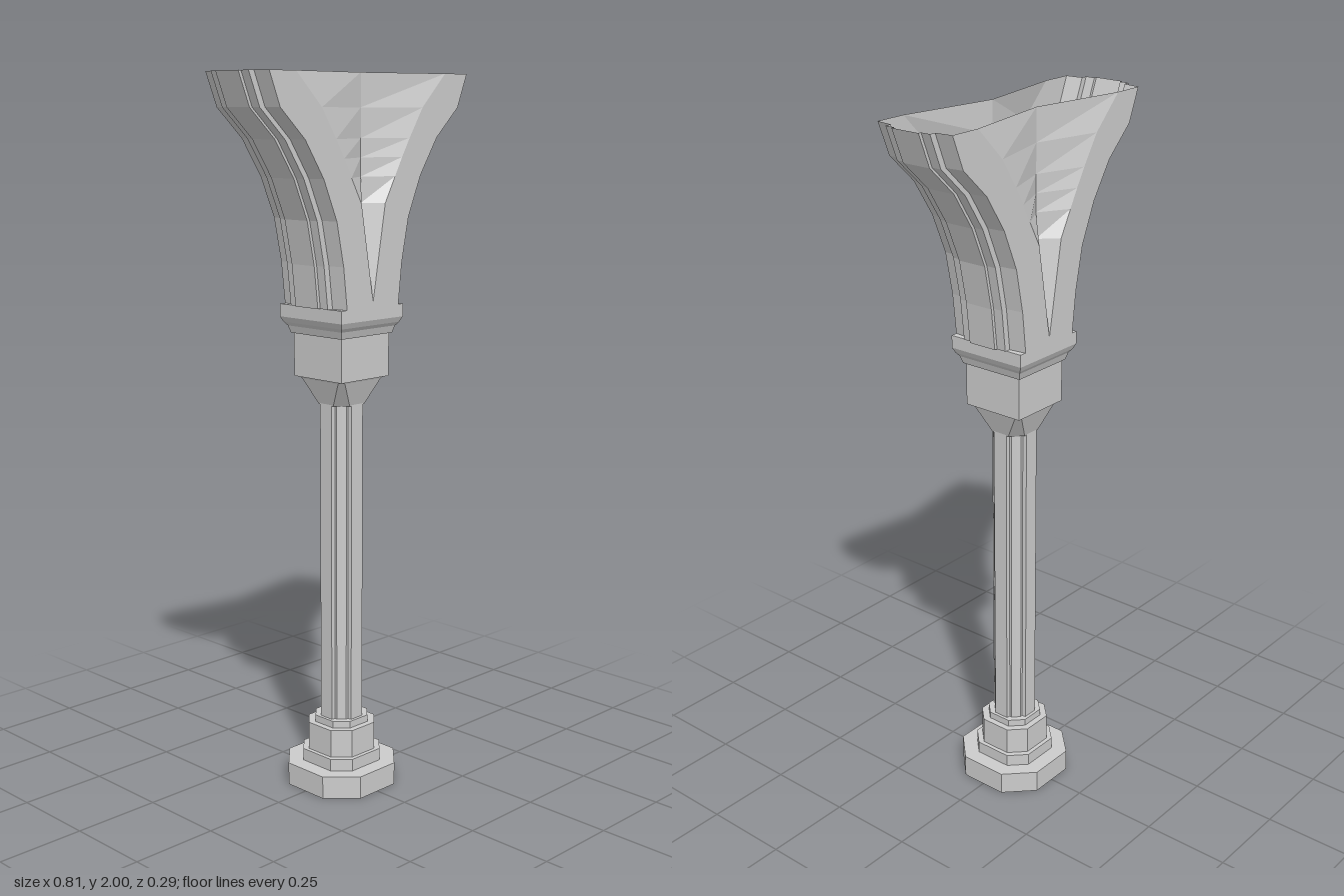
import * as THREE from 'three';

const material = new THREE.MeshStandardMaterial({ color: 0xcccccc, flatShading: true });
const shellMaterial = new THREE.MeshStandardMaterial({ color: 0xcccccc, flatShading: true, side: THREE.DoubleSide });

// Mirror a quarter outline ([x, z] points from the +z side round to the +x side) into a full loop.
function mirrorQuarter(q) {
  const flip = (sx, sz) => q.map(([x, z]) => [x * sx, z * sz]);
  return [...q, ...flip(1, -1).reverse(), ...flip(-1, -1), ...flip(-1, 1).reverse()];
}

// Quarter outline of a square with cut corners; c = h gives a plain square.
const octagon = (h, c) => [[c, h], [h, c]];
const square = (h) => octagon(h, h);

// Skin a stack of [height, quarter outline] sections.
function loft(name, sections, capped = true) {
  const rings = sections.map(([y, q]) => mirrorQuarter(q).map(([x, z]) => [x, y, z]));
  const n = rings[0].length;
  const pos = [];
  for (let i = 0; i < rings.length - 1; i++) {
    for (let j = 0; j < n; j++) {
      const k = (j + 1) % n;
      const a = rings[i][j], b = rings[i][k], c = rings[i + 1][k], d = rings[i + 1][j];
      pos.push(...a, ...b, ...c, ...a, ...c, ...d);
    }
  }
  if (capped) {
    const low = rings[0], high = rings[rings.length - 1];
    for (let j = 0; j < n; j++) {
      const k = (j + 1) % n;
      pos.push(0, low[0][1], 0, ...low[k], ...low[j]);
      pos.push(0, high[0][1], 0, ...high[j], ...high[k]);
    }
  }
  const geometry = new THREE.BufferGeometry();
  geometry.setAttribute('position', new THREE.Float32BufferAttribute(pos, 3));
  geometry.computeVertexNormals();
  const mesh = new THREE.Mesh(geometry, capped ? material : shellMaterial);
  mesh.name = name;
  return mesh;
}

// Piecewise linear lookup in [y, value] pairs.
function lookup(table, y) {
  if (y <= table[0][0]) return table[0][1];
  for (let i = 1; i < table.length; i++) {
    const [y0, v0] = table[i - 1], [y1, v1] = table[i];
    if (y <= y1) return v0 + (v1 - v0) * (y - y0) / (y1 - y0);
  }
  return table[table.length - 1][1];
}

// Flared open head: stepped ribs on both sides, a widening groove front and back.
function flaredHead() {
  const flare = [[1.385, 0.105], [1.5, 0.118], [1.62, 0.143], [1.73, 0.19], [1.83, 0.255], [1.91, 0.34], [2, 0.376]];
  const grooveWidth = [[1.4, 0], [1.66, 0.045], [1.78, 0.11], [1.9, 0.18], [2, 0.28]];
  const grooveDepth = [[1.4, 0.12], [1.66, 0.072]];
  const levels = [1.385, 1.4, 1.5, 1.62, 1.66, 1.73, 1.78, 1.83, 1.91, 2];
  return loft('flaredHead', levels.map((y) => {
    const p = lookup(flare, y);
    return [y, [
      [0, lookup(grooveDepth, y)], [lookup(grooveWidth, y), 0.12], [p - 0.006, 0.12],
      [p, 0.071], [p + 0.018, 0.071], [p + 0.018, 0.043], [p + 0.027, 0.043],
    ]];
  }), false);
}

export function createModel() {
  const group = new THREE.Group();

  // Stepped octagonal foot: [name, bottom, top, half width, corner]
  const steps = [
    ['plinth', 0, 0.065, 0.145, 0.07],
    ['lowerBaseStep', 0.065, 0.1, 0.1, 0.055],
    ['upperBaseStep', 0.1, 0.18, 0.088, 0.045],
    ['baseCollar', 0.18, 0.2, 0.07, 0.035],
  ];
  for (const [name, y0, y1, h, c] of steps) {
    group.add(loft(name, [[y0, octagon(h, c)], [y1, octagon(h, c)]]));
  }

  // Clustered shaft with grooves beside each rib
  const shaft = [[0.022, 0.061], [0.024, 0.05], [0.031, 0.05], [0.041, 0.041], [0.05, 0.031], [0.05, 0.024], [0.061, 0.022]];
  group.add(loft('shaft', [[0.2, shaft], [1.13, shaft]]));

  // Neck spreading from the shaft to the square block
  group.add(loft('neck', [[1.11, octagon(0.06, 0.028)], [1.18, octagon(0.083, 0.07)], [1.19, square(0.088)]]));
  group.add(loft('block', [[1.185, square(0.092)], [1.31, square(0.092)]]));

  // Moulding under the head
  group.add(loft('moulding', [
    [1.305, square(0.098)], [1.325, square(0.104)], [1.335, square(0.112)],
    [1.35, square(0.119)], [1.385, square(0.119)],
  ]));

  group.add(flaredHead());
  return group;
}
